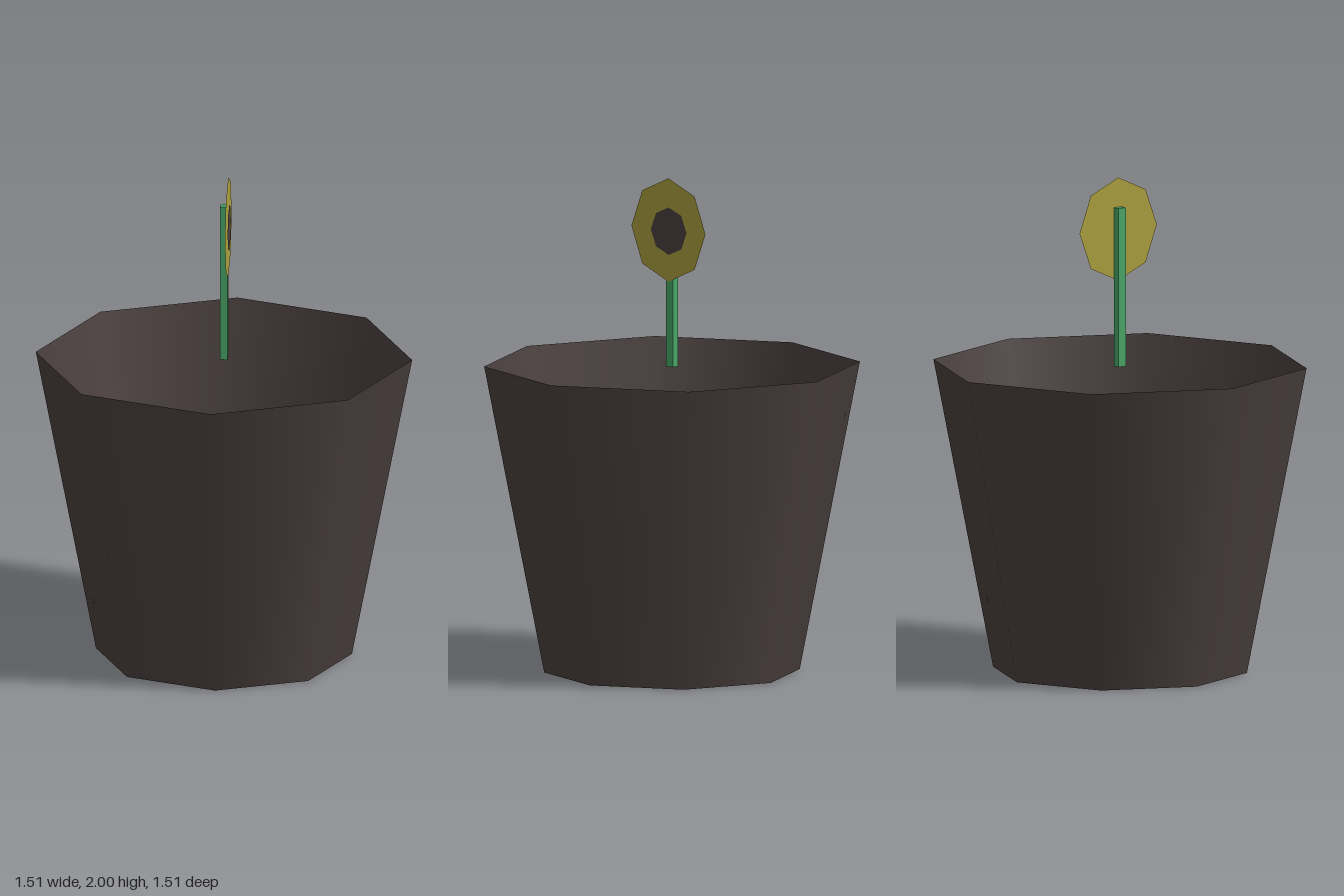
import * as THREE from 'three';

export function createModel() {
  const group = new THREE.Group();
  const material = (name, color) =>
    new THREE.MeshStandardMaterial({ name, color, side: THREE.DoubleSide });
  const brown = material('dark brown', 0x4a3f3e);
  const yellow = material('petal yellow', 0xab9f3d);
  const green = material('stem green', 0x4aa768);

  const add = (name, geometry, mat, x, y, z) => {
    const mesh = new THREE.Mesh(geometry, mat);
    mesh.name = name;
    mesh.position.set(x, y, z);
    group.add(mesh);
    return mesh;
  };

  // Open eight-sided pot with smooth walls and a flat floor
  const height = 1.245, topRadius = 0.757, bottomRadius = 0.515;
  add('potWall', new THREE.CylinderGeometry(topRadius, bottomRadius, height, 8, 1, true),
    brown, 0, height / 2, 0);
  add('potFloor', new THREE.CircleGeometry(bottomRadius, 8).rotateX(Math.PI / 2),
    brown, 0, 0, 0);

  // Square-cut stem, starting level with the rim
  const stemBottom = 1.235, stemTop = 1.88;
  add('stem', new THREE.BoxGeometry(0.03, stemTop - stemBottom, 0.038),
    green, 0.001, (stemTop + stemBottom) / 2, 0);

  // Flat octagonal flower head facing +x
  const disc = (radiusZ, radiusY) =>
    new THREE.CircleGeometry(1, 8).scale(radiusZ, radiusY, 1).rotateY(Math.PI / 2);
  add('petals', disc(0.193, 0.21), yellow, 0.0175, 1.79, 0.004);
  add('flowerCentre', disc(0.093, 0.096), brown, 0.021, 1.786, 0);

  return group;
}
